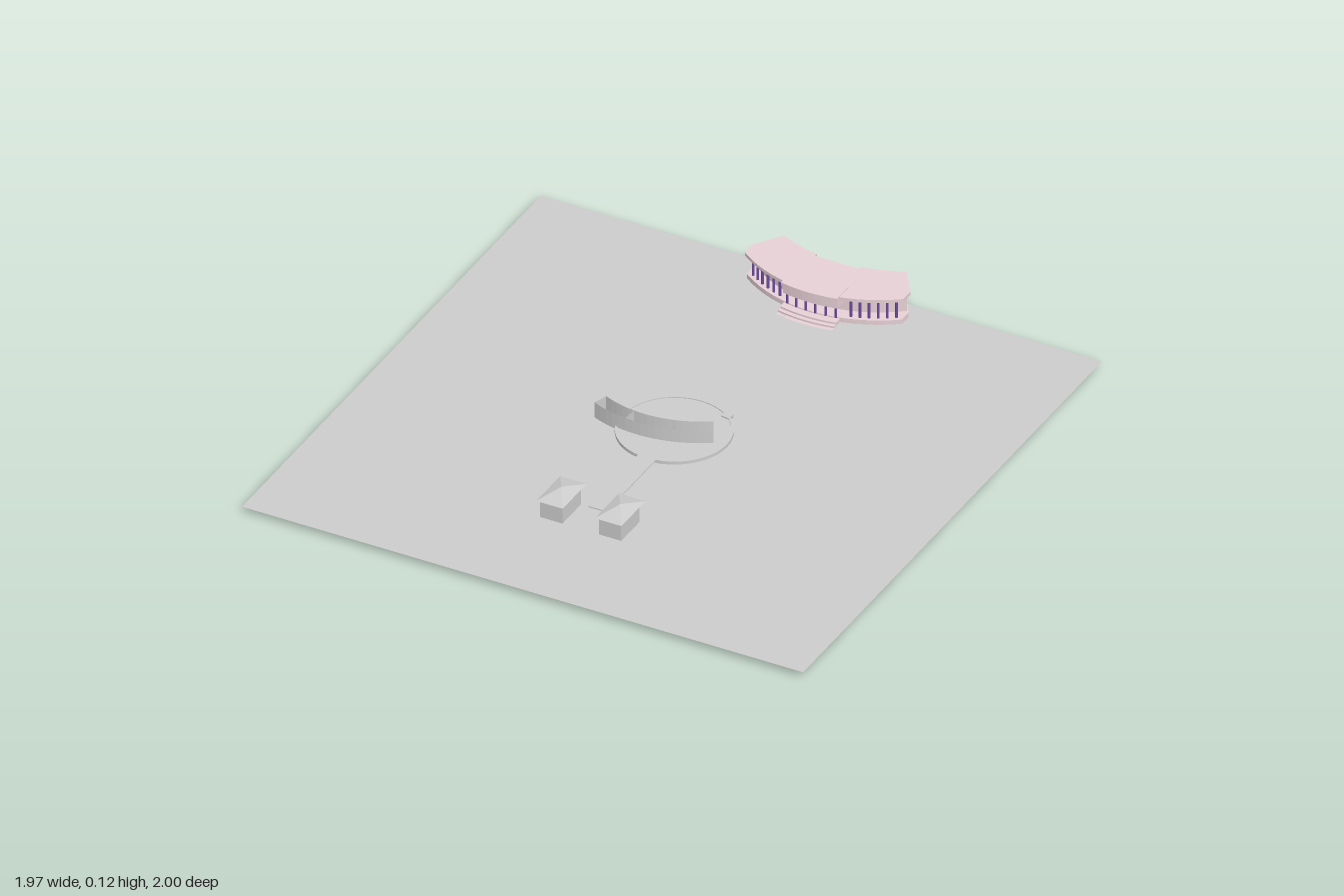
import * as THREE from 'three';

const grey = new THREE.MeshStandardMaterial({ color: 0xcccccc, flatShading: true, side: THREE.DoubleSide });
const pink = new THREE.MeshStandardMaterial({ color: 0xe6d0d6, flatShading: true, side: THREE.DoubleSide });
const purple = new THREE.MeshStandardMaterial({ color: 0x6b4a9c, flatShading: true });

function add(parent, name, geometry, material) {
  const mesh = new THREE.Mesh(geometry, material);
  mesh.name = name;
  parent.add(mesh);
  return mesh;
}

// Box given by its limits on each axis
function box(parent, name, [x0, x1], [y0, y1], [z0, z1], material) {
  const mesh = add(parent, name, new THREE.BoxGeometry(x1 - x0, y1 - y0, z1 - z0), material);
  mesh.position.set((x0 + x1) / 2, (y0 + y1) / 2, (z0 + z1) / 2);
  return mesh;
}

// Plan outline of [x, z] points raised from y0 to y1
function slab(parent, name, plan, y0, y1, material) {
  const shape = new THREE.Shape(plan.map(([x, z]) => new THREE.Vector2(x, -z)));
  const geometry = new THREE.ExtrudeGeometry(shape, { depth: y1 - y0, bevelEnabled: false });
  geometry.rotateX(-Math.PI / 2).translate(0, y0, 0);
  return add(parent, name, geometry, material);
}

// Plan arc bulging to +z between x0 and x1
function arc(cx, cz, r, x0, x1, n = 16) {
  return Array.from({ length: n + 1 }, (_, i) => {
    const a0 = Math.asin((x0 - cx) / r), a1 = Math.asin((x1 - cx) / r);
    const a = a0 + (a1 - a0) * i / n;
    return [cx + r * Math.sin(a), cz + r * Math.cos(a)];
  });
}

// Vertical sheet of no thickness along a plan path
function sheet(parent, name, path, y0, y1, material) {
  const pos = [], index = [];
  path.forEach(([x, z], i) => {
    pos.push(x, y0, z, x, y1, z);
    if (i) index.push(2 * i - 2, 2 * i, 2 * i - 1, 2 * i - 1, 2 * i, 2 * i + 1);
  });
  const geometry = new THREE.BufferGeometry();
  geometry.setAttribute('position', new THREE.Float32BufferAttribute(pos, 3));
  geometry.setIndex(index);
  geometry.computeVertexNormals();
  return add(parent, name, geometry, material);
}

function gatehouse(x) {
  const house = new THREE.Group();
  house.name = 'gatehouse';
  box(house, 'gatehouseWalls', [x - 0.039, x + 0.039], [0.015, 0.086], [0.495, 0.617], grey);
  const roof = new THREE.ConeGeometry(Math.SQRT1_2, 0.021, 4, 1);
  roof.rotateY(Math.PI / 4).scale(0.093, 1, 0.158).translate(x, 0.0955, 0.551);
  add(house, 'gatehouseRoof', roof, grey);
  return house;
}

function roundTerrace() {
  const terrace = new THREE.Group();
  terrace.name = 'roundTerrace';
  add(terrace, 'terraceDisc', new THREE.CylinderGeometry(0.18, 0.18, 0.028, 48), grey).position.y = 0.014;
  const rim = new THREE.LatheGeometry([[0.176, 0], [0.185, 0], [0.185, 0.031], [0.176, 0.031], [0.176, 0]]
    .map(p => new THREE.Vector2(...p)), 48);
  add(terrace, 'terraceRim', rim, grey);
  const block = box(terrace, 'rimBlock', [0.096, 0.124], [0.012, 0.033], [-0.154, -0.128], grey);
  block.rotation.y = -0.15;
  box(terrace, 'walkway', [-0.031, 0.031], [0.027, 0.031], [0.175, 0.507], grey);
  // low curved step below the front of the terrace
  const front = arc(0, 0, 0.255, -0.19, 0.04);
  const back = arc(0, 0, 0.186, -0.15, 0.03).reverse();
  slab(terrace, 'curvedStep', [...front, ...back], 0.013, 0.019, grey);

  // roofless curved pavilion of thin walls
  const pavilion = new THREE.Group();
  pavilion.name = 'curvedPavilion';
  const outer = arc(0, 0, 0.42, -0.2, 0.2), inner = arc(0, 0, 0.37, -0.18, 0.18);
  sheet(pavilion, 'pavilionWalls', [...outer, ...[...inner].reverse(), outer[0]], 0.016, 0.075, grey);
  for (const i of [5, 11]) sheet(pavilion, 'pavilionPartition', [outer[i], inner[i]], 0.03, 0.075, grey);
  pavilion.rotation.y = 0.09;
  pavilion.position.set(-0.09, 0, -0.34);
  terrace.add(pavilion);
  return terrace;
}

function curvedHall() {
  const hall = new THREE.Group();
  hall.name = 'curvedHall';
  const cx = 0.067, cz = -1.22;
  // shared rear outline with a shallow bay in the middle
  const rear = [
    ...arc(cx, -1.44, 0.49, 0.144, 0.282, 6).reverse(),
    [0.144, -0.945], [-0.01, -0.945],
    ...arc(cx, -1.44, 0.49, -0.148, -0.01, 6).reverse(),
  ];
  const outline = (r, half, side) => [
    [cx - half, side], ...arc(cx, cz, r, cx - half, cx + half), [cx + half, side], ...rear];
  slab(hall, 'hallBase', outline(0.45, 0.272, -0.905), 0.012, 0.036, pink);
  slab(hall, 'hallBody', outline(0.405, 0.262, -0.912), 0.036, 0.106, pink);
  slab(hall, 'hallRoof', outline(0.455, 0.278, -0.907), 0.104, 0.115, pink);

  // colonnade on both wings
  for (const s of [-1, 1]) for (let i = 0; i < 6; i++) {
    const a = s * (0.29 + i * 0.065), r = 0.435;
    const column = add(hall, 'column', new THREE.CylinderGeometry(0.0045, 0.0045, 0.07, 8), purple);
    column.position.set(cx + r * Math.sin(a), 0.07, cz + r * Math.cos(a));
  }

  // central portico
  const span = (inset = 0) => [-0.031 + inset, 0.165 - inset];
  slab(hall, 'porticoRoof', [[-0.031, -0.835], ...arc(cx, cz, 0.47, ...span(), 8), [0.165, -0.835]], 0.108, 0.118, pink);
  slab(hall, 'porticoUpperWall', [[-0.028, -0.835], ...arc(cx, cz, 0.462, ...span(0.003), 8), [0.162, -0.835]], 0.076, 0.11, pink);
  for (let i = 0; i < 6; i++) {
    const a = -0.19 + i * 0.076;
    const column = add(hall, 'porticoColumn', new THREE.CylinderGeometry(0.004, 0.004, 0.042, 8), purple);
    column.position.set(cx + 0.45 * Math.sin(a), 0.056, cz + 0.45 * Math.cos(a));
  }

  // entrance steps
  for (let i = 0; i < 4; i++) {
    const r = 0.475 + i * 0.014;
    slab(hall, 'entranceStep', [[-0.031, -0.83], ...arc(cx, cz, r, ...span(), 8), [0.165, -0.83]],
      0.01, 0.032 - i * 0.006, pink);
  }
  box(hall, 'rearWindow', [0.052, 0.082], [0.055, 0.08], [-0.947, -0.943], pink);

  // fan-shaped forecourt
  slab(hall, 'forecourt', [[-0.25, -0.91], ...arc(cx, -1.05, 0.55, -0.24, 0.374), [0.385, -0.91]], 0.01, 0.012, pink);
  return hall;
}

export function createModel() {
  const model = new THREE.Group();
  model.name = 'parkWithPavilions';
  const ground = add(model, 'ground', new THREE.PlaneGeometry(1.968, 1.968).rotateX(-Math.PI / 2), grey);
  ground.position.set(0, 0.02, 0.016);
  model.add(roundTerrace(), curvedHall());
  for (const s of [-1, 1]) model.add(gatehouse(s * 0.103));
  return model;
}
